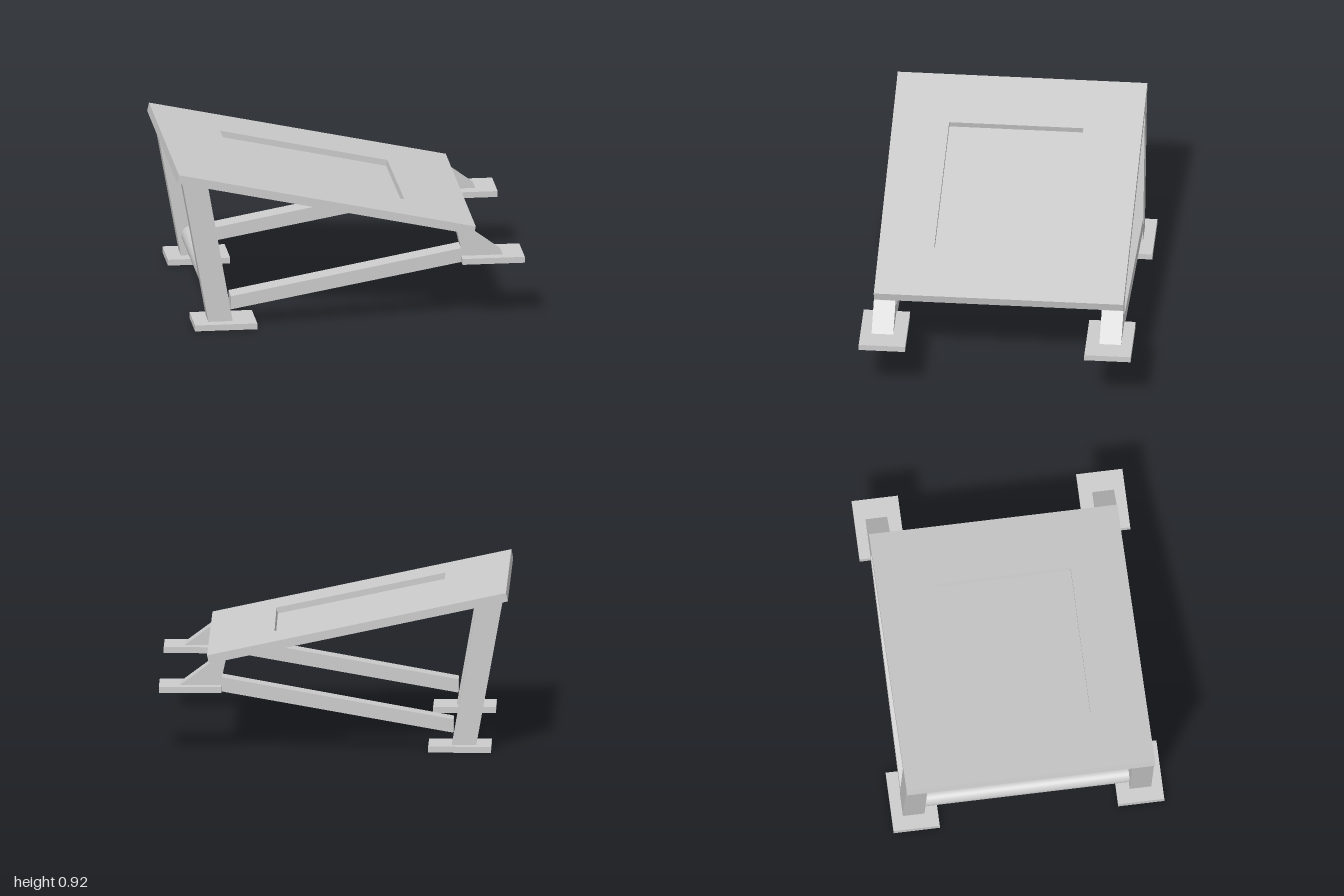
import * as THREE from 'three';

const material = new THREE.MeshStandardMaterial({ color: 0xcccccc, flatShading: true });
const smooth = new THREE.MeshStandardMaterial({ color: 0xcccccc });

const toShape = (points) => new THREE.Shape(points.map(([x, y]) => new THREE.Vector2(x, y)));

function add(parent, name, geometry, mat = material) {
  const mesh = new THREE.Mesh(geometry, mat);
  mesh.name = name;
  parent.add(mesh);
  return mesh;
}

// Outlines of the side members, seen from the front (x, y)
const MEMBERS = {
  leg: [[-0.97, 0.865], [-0.82, 0.035], [-0.68, 0.035], [-0.82, 0.833]],
  brace: [[-0.69, 0.183], [-0.69, 0.105], [0.65, 0.342], [0.65, 0.425]],
  bracket: [[0.617, 0.523], [0.64, 0.42], [0.64, 0.37], [0.89, 0.37], [0.715, 0.5]],
};
const HALF_WIDTH = 0.718;
const BEAM = 0.125;

export function createModel() {
  const group = new THREE.Group();

  // Sloping panel: a frame with a slightly skewed recess, over a thin base
  const panel = new THREE.Group();
  panel.name = 'slopingPanel';
  const length = 1.754, frameDepth = 0.035, baseDepth = 0.015;
  const outline = toShape([
    [0, -HALF_WIDTH], [length, -HALF_WIDTH], [length, HALF_WIDTH], [0, HALF_WIDTH],
  ]);
  outline.holes.push(toShape([[0.379, -0.38], [0.379, 0.392], [1.371, 0.4], [1.366, -0.37]]));
  const frame = new THREE.ExtrudeGeometry(outline, { depth: frameDepth, bevelEnabled: false });
  add(panel, 'panelFrame', frame.rotateX(Math.PI / 2));
  const base = add(panel, 'panelBase', new THREE.BoxGeometry(length, baseDepth, 2 * HALF_WIDTH));
  base.position.set(length / 2, -frameDepth - baseDepth / 2, 0);
  panel.position.set(-0.99, 0.92, 0);
  panel.rotation.z = -Math.atan2(0.37, 1.715);
  group.add(panel);

  // Two mirrored side frames with their feet
  for (const side of [-1, 1]) {
    const frameSide = new THREE.Group();
    frameSide.name = side > 0 ? 'frontSideFrame' : 'backSideFrame';
    for (const [name, points] of Object.entries(MEMBERS)) {
      const geometry = new THREE.ExtrudeGeometry(toShape(points), { depth: BEAM, bevelEnabled: false });
      add(frameSide, name, geometry).position.z = side > 0 ? HALF_WIDTH - BEAM : -HALF_WIDTH;
    }
    for (const [name, x, y] of [['lowerFoot', -0.725, 0.0175], ['upperFoot', 0.82, 0.36]]) {
      add(frameSide, name, new THREE.BoxGeometry(0.36, 0.035, 0.267)).position.set(x, y, side * 0.649);
    }
    group.add(frameSide);
  }

  // Round rod joining the two legs
  const rod = add(group, 'crossRod', new THREE.CylinderGeometry(0.053, 0.053, 1.2, 40), smooth);
  rod.rotation.x = Math.PI / 2;
  rod.position.set(-0.765, 0.157, 0);

  return group;
}
